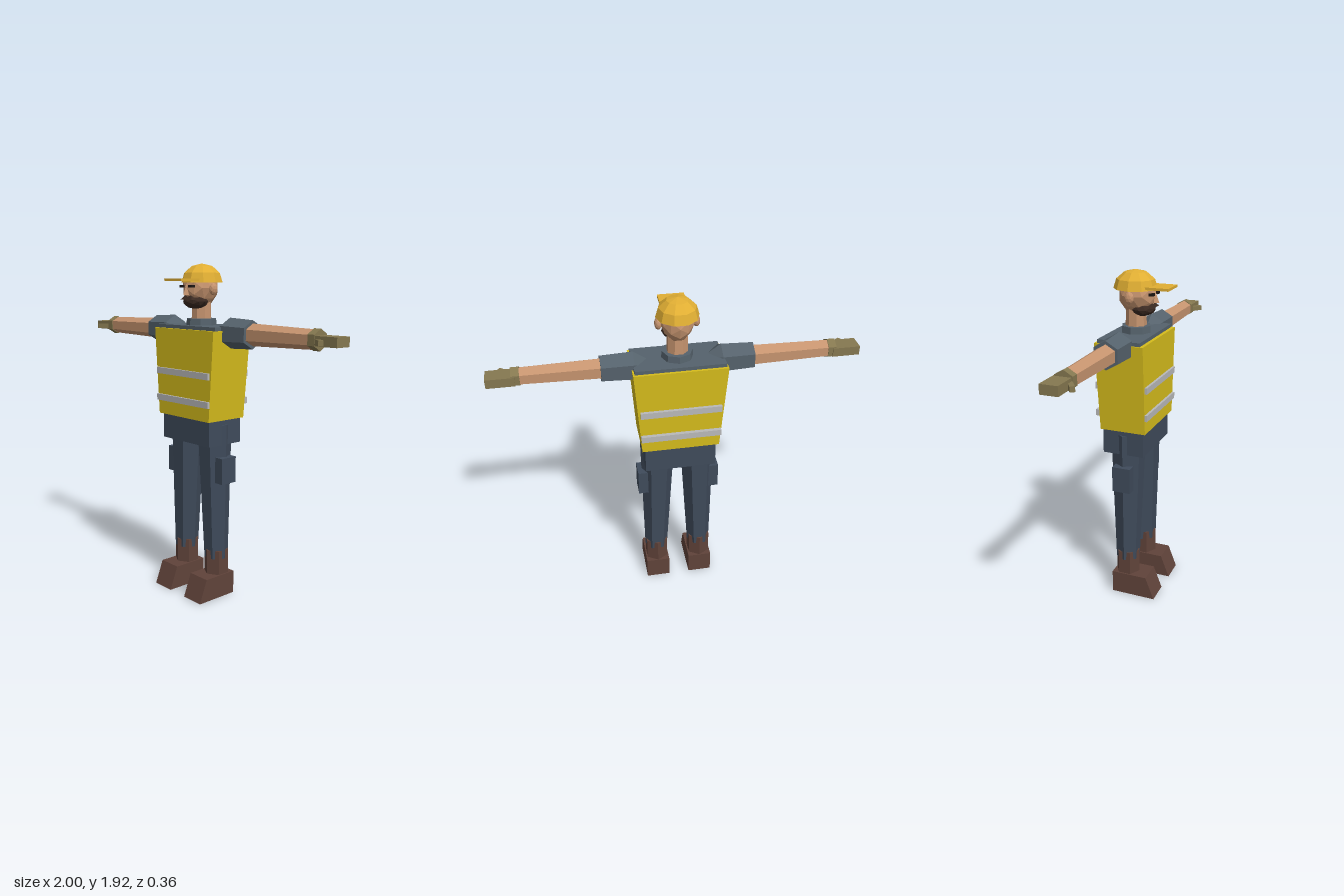
import * as THREE from 'three';

const mat = (color) => new THREE.MeshStandardMaterial({ color, flatShading: true });
const ZC = -0.03; // body axis depth

export function createModel() {
  const model = new THREE.Group();
  model.name = 'worker';
  const M = {
    skin: mat(0xc6946f), vest: mat(0xd6bc1c), tape: mat(0xb9b9b9), shirt: mat(0x55626c),
    trousers: mat(0x3f4b5b), boot: mat(0x60433a), glove: mat(0x857850), cap: mat(0xe0ae33),
    beard: mat(0x3b2a22), eye: mat(0x1c1614),
  };

  const add = (name, geometry, material, x = 0, y = 0, z = 0) => {
    const mesh = new THREE.Mesh(geometry, material);
    mesh.name = name;
    mesh.position.set(x, y, z);
    model.add(mesh);
    return mesh;
  };

  // Box given by its limits; "shape" may move each corner
  const block = (name, material, [x0, x1], [y0, y1], [z0, z1], shape) => {
    const g = new THREE.BoxGeometry(x1 - x0, y1 - y0, z1 - z0);
    g.translate((x0 + x1) / 2, (y0 + y1) / 2, (z0 + z1) / 2);
    if (shape) {
      const p = g.attributes.position;
      const v = new THREE.Vector3();
      for (let i = 0; i < p.count; i++) {
        v.fromBufferAttribute(p, i);
        shape(v);
        p.setXYZ(i, v.x, v.y, v.z);
      }
    }
    return add(name, g, material);
  };

  // Faceted turned shape along the arm; profile holds [radius, x]
  const armPart = (name, material, s, profile) => {
    const pts = profile.map(([r, x]) => new THREE.Vector2(r, x));
    const g = new THREE.LatheGeometry(pts, 6, Math.PI / 6);
    g.rotateZ(-s * Math.PI / 2);
    return add(name, g, material, 0, 1.545, ZC);
  };

  const ball = (name, material, center, radii, detail = 1) => {
    const g = new THREE.IcosahedronGeometry(1, detail);
    g.scale(...radii);
    return add(name, g, material, ...center);
  };

  // Torso
  block('vest', M.vest, [-0.252, 0.252], [1.06, 1.56], [-0.17, 0.108], (v) => {
    if (v.y < 1.3) {
      v.x *= 0.86;
      if (v.z < 0) v.z = -0.158;
    }
  });
  block('shirtShoulders', M.shirt, [-0.243, 0.243], [1.5, 1.58], [-0.155, 0.088]);
  for (const y of [1.315, 1.158]) {
    block('frontReflectiveStrip', M.tape, [-0.222, 0.222], [y - 0.018, y + 0.018], [0.1, 0.122]);
    block('backReflectiveStrip', M.tape, [-0.222, 0.222], [y - 0.018, y + 0.018], [-0.182, -0.155]);
  }
  block('hips', M.trousers, [-0.2, 0.2], [0.915, 1.07], [-0.15, 0.09]);
  add('collar', new THREE.CylinderGeometry(0.083, 0.088, 0.06, 8), M.shirt, 0, 1.587, ZC);
  add('neck', new THREE.CylinderGeometry(0.055, 0.06, 0.18, 8, 1, false, Math.PI / 8), M.skin, 0, 1.65, ZC);

  for (const s of [1, -1]) {
    const side = s > 0 ? 'left' : 'right';

    // Leg: hexagonal column leaning slightly outward
    const leg = new THREE.CylinderGeometry(0.1, 0.07, 0.8, 6, 1, false, Math.PI / 6);
    const p = leg.attributes.position;
    for (let i = 0; i < p.count; i++) p.setX(i, p.getX(i) + s * (p.getY(i) > 0 ? 0.115 : 0.134));
    add(side + 'Leg', leg, M.trousers, 0, 0.63, ZC);
    const px = [s * 0.14, s * 0.237].sort((a, b) => a - b);
    block(side + 'Pocket', M.trousers, px, [0.695, 0.845], [-0.083, 0.024]);

    // Boot
    add(side + 'BootShaft', new THREE.CylinderGeometry(0.073, 0.073, 0.17, 6), M.boot, s * 0.134, 0.195, ZC);
    const bx = [s * 0.063, s * 0.205].sort((a, b) => a - b);
    block(side + 'BootFoot', M.boot, bx, [0, 0.135], [-0.105, 0.16], (v) => {
      if (v.y > 0.1 && v.z > 0) v.z = 0.108;
    });

    // Arm
    armPart(side + 'Sleeve', M.shirt, s, [[0, 0.115], [0.084, 0.235], [0.077, 0.41], [0, 0.41]]);
    armPart(side + 'Forearm', M.skin, s, [[0, 0.39], [0.06, 0.39], [0.05, 0.84], [0, 0.84]]);
    armPart(side + 'GloveCuff', M.glove, s, [[0, 0.825], [0.055, 0.825], [0.055, 0.868], [0, 0.868]]);
    const hx = [s * 0.85, s].sort((a, b) => a - b);
    block(side + 'Hand', M.glove, hx, [1.517, 1.567], [-0.083, 0.012]);
    const thumb = add(side + 'Thumb', new THREE.BoxGeometry(0.095, 0.028, 0.026), M.glove, s * 0.895, 1.537, 0.02);
    thumb.rotation.y = -s * 0.62;

    // Ear and eye
    ball(side + 'Ear', M.skin, [s * 0.1, 1.78, ZC], [0.02, 0.034, 0.027]);
    add(side + 'Eye', new THREE.BoxGeometry(0.028, 0.014, 0.03), M.eye, s * 0.036, 1.795, 0.073);
  }

  // Head, narrower towards the chin
  const head = ball('head', M.skin, [0, 1.785, -0.022], [0.094, 0.112, 0.108]);
  const hp = head.geometry.attributes.position;
  for (let i = 0; i < hp.count; i++) {
    const k = 1 + Math.min(0, hp.getY(i)) * 1.8;
    hp.setX(i, hp.getX(i) * k);
  }
  const nose = new THREE.ConeGeometry(0.024, 0.065, 4);
  nose.scale(0.8, 1, 1);
  add('nose', nose, M.skin, 0, 1.78, 0.08);
  ball('beard', M.beard, [0, 1.712, 0.014], [0.078, 0.042, 0.067]);
  const moustache = new THREE.CylinderGeometry(0.022, 0.058, 0.03, 4, 1, false, Math.PI / 4);
  moustache.scale(1.2, 1, 0.8);
  add('moustache', moustache, M.beard, 0, 1.737, 0.052);

  // Cap: closed faceted dome with a flat brim
  const dome = new THREE.SphereGeometry(1, 10, 3, 0, Math.PI * 2, 0, Math.PI / 2);
  dome.scale(0.115, 0.103, 0.122);
  add('capDome', dome, M.cap, 0, 1.817, -0.033);
  const base = new THREE.CircleGeometry(1, 10);
  base.rotateX(Math.PI / 2);
  base.scale(0.115, 1, 0.122);
  add('capUnderside', base, M.cap, 0, 1.817, -0.033);
  block('capBrim', M.cap, [-0.072, 0.072], [1.824, 1.838], [0.02, 0.18]);

  return model;
}
